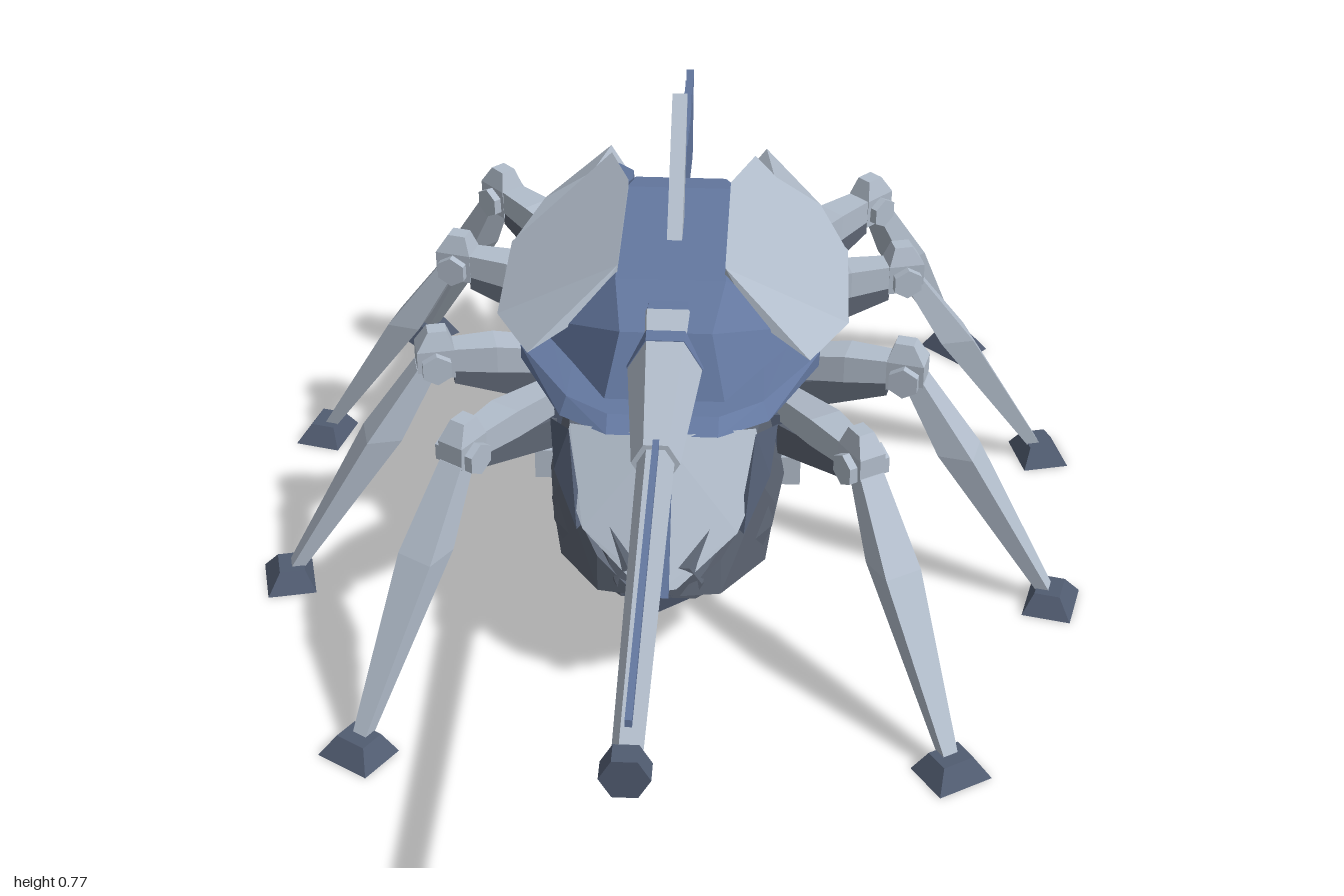
import * as THREE from 'three';
import { ConvexGeometry } from 'three/addons/geometries/ConvexGeometry.js';

const paint = (name, color) => {
  const m = new THREE.MeshStandardMaterial({ color, flatShading: true });
  m.name = name;
  return m;
};

export function createModel() {
  const model = new THREE.Group();
  model.name = 'spiderTank';
  const light = paint('light grey armour', 0xb2bdcb);
  const blue = paint('steel blue', 0x6478a0);
  const dark = paint('dark grey', 0x5d6573);
  const slate = paint('slate', 0x515c71);
  const black = paint('near black', 0x2b303a);

  const add = (name, geo, mat, parent = model) => {
    const mesh = new THREE.Mesh(geo, mat);
    mesh.name = name;
    parent.add(mesh);
    return mesh;
  };
  const convex = pts => new ConvexGeometry(pts.map(p => new THREE.Vector3(...p)));
  const flip = pts => pts.map(([x, y, z]) => [-x, y, z]);
  // solid symmetric about x = 0
  const block = (name, pts, mat) => add(name, convex([...pts, ...flip(pts)]), mat);
  // one solid on each side
  const pair = (name, pts, mat) => {
    add(name + 'Left', convex(pts), mat);
    add(name + 'Right', convex(flip(pts)), mat);
  };
  // rectangle of points in the horizontal plane
  const rect = (x, y, z, hx, hz) =>
    [[x - hx, y, z - hz], [x + hx, y, z - hz], [x + hx, y, z + hz], [x - hx, y, z + hz]];
  // rectangle of points facing along x
  const rectX = (x, y, hy, hz) =>
    [[x, y - hy, -hz], [x, y + hy, -hz], [x, y + hy, hz], [x, y - hy, hz]];

  // Hull: keel below the chine, sloped sides above
  block('belly', [
    [0, 0.19, 0.2], [0, 0.11, 0.08], [0, 0.2, -0.81],
    [0.06, 0.225, 0.2], [0.15, 0.195, 0.08], [0.165, 0.2, -0.1], [0.165, 0.22, -0.62], [0.08, 0.225, -0.81],
  ], slate);
  block('hull', [
    [0.06, 0.22, 0.2], [0.15, 0.195, 0.08], [0.165, 0.2, -0.1], [0.165, 0.215, -0.62], [0.08, 0.22, -0.81],
    [0.07, 0.25, 0.2], [0.18, 0.27, 0.06], [0.2, 0.28, -0.1], [0.2, 0.28, -0.62], [0.11, 0.33, -0.82],
    [0.05, 0.28, 0.2], [0.15, 0.44, 0.07], [0.165, 0.45, -0.1], [0.165, 0.45, -0.6], [0.09, 0.42, -0.82],
  ], dark);
  pair('jaw', [
    [0.165, 0.36, 0.08], [0.185, 0.3, 0.04], [0.17, 0.2, 0.06], [0.1, 0.22, 0.185],
    [0.035, 0.235, 0.215], [0.1, 0.285, 0.18],
  ], dark);

  // Front shield with a raised stripe
  pair('frontShield', [
    [0, 0.465, 0.1], [0, 0.25, 0.225], [0.03, 0.25, 0.217], [0.125, 0.32, 0.155], [0.165, 0.4, 0.09],
    [0.15, 0.46, 0.06], [0, 0.43, 0.06],
  ], light);
  block('shieldStripe', [
    [0.018, 0.47, 0.115], [0.018, 0.245, 0.235], [0.018, 0.465, 0.07], [0.018, 0.25, 0.2],
  ], blue);
  pair('shieldRim', [
    [0.15, 0.465, 0.085], [0.185, 0.45, 0.03], [0.175, 0.39, 0.09], [0.135, 0.315, 0.15],
    [0.125, 0.32, 0.14], [0.165, 0.4, 0.05],
  ], slate);

  // Side strips and hip sockets
  for (const s of [-1, 1]) {
    const strip = add('sideStrip', new THREE.BoxGeometry(0.035, 0.055, 0.57), light);
    strip.position.set(s * 0.207, 0.283, -0.365);
    for (const z of [-0.1, -0.24, -0.45, -0.59]) {
      add('hipSocket', new THREE.BoxGeometry(0.06, 0.07, 0.07), slate).position.set(s * 0.17, 0.37, z);
    }
  }

  // Rear engine block, blue grille frame and dark slots
  block('engineBlock', [
    [0.07, 0.43, -0.81], [0.112, 0.395, -0.825], [0.075, 0.218, -0.8],
    [0.09, 0.45, -0.6], [0.14, 0.4, -0.62], [0.09, 0.22, -0.62],
  ], dark);
  block('grilleFrame', [
    [0.075, 0.435, -0.825], [0.115, 0.4, -0.838], [0.075, 0.215, -0.81],
    [0.075, 0.435, -0.805], [0.115, 0.4, -0.81], [0.075, 0.215, -0.79],
  ], blue);
  for (let i = 0; i < 4; i++) {
    const y = 0.265 + i * 0.036;
    const slot = add('grilleSlot', new THREE.BoxGeometry(0.12 + i * 0.018, 0.018, 0.008), black);
    slot.position.set(0, y, -0.81 - (y - 0.215) * 0.151);
    slot.rotation.x = 0.15;
  }

  // Turret
  block('turretSkirt', [
    [0.09, 0.46, 0.09], [0.17, 0.455, 0.03], [0.25, 0.45, -0.15], [0.26, 0.45, -0.52], [0.16, 0.45, -0.66],
    [0.09, 0.48, 0.06], [0.16, 0.48, 0.01], [0.25, 0.475, -0.15], [0.27, 0.475, -0.5], [0.15, 0.48, -0.66],
  ], blue);
  block('turretBody', [
    [0.1, 0.47, 0.02], [0.15, 0.47, -0.1], [0.25, 0.47, -0.25], [0.25, 0.47, -0.5], [0.12, 0.47, -0.57],
    [0.075, 0.58, -0.03], [0.092, 0.592, -0.18], [0.092, 0.592, -0.5], [0.08, 0.585, -0.55],
  ], blue);
  pair('rearProng', [
    [0.085, 0.59, -0.5], [0.12, 0.56, -0.65], [0.07, 0.46, -0.55], [0.1, 0.47, -0.79],
    [0.14, 0.47, -0.8], [0.22, 0.465, -0.55], [0.2, 0.5, -0.55],
  ], blue);
  pair('roofPlate', [
    [0.09, 0.605, -0.2], [0.09, 0.605, -0.5], [0.13, 0.58, -0.65],
    [0.3, 0.475, -0.5], [0.3, 0.475, -0.25], [0.235, 0.485, -0.11], [0.14, 0.53, -0.16],
    [0.09, 0.585, -0.2], [0.09, 0.585, -0.5], [0.28, 0.465, -0.5], [0.28, 0.465, -0.25],
  ], light);
  pair('rearSpike', [
    [0.148, 0.475, -0.88], [0.1, 0.465, -0.77], [0.165, 0.545, -0.64], [0.25, 0.5, -0.62],
    [0.298, 0.475, -0.5], [0.2, 0.465, -0.55],
  ], light);

  // Serrated tail fin with hooked teeth
  const fin = new THREE.Shape();
  fin.moveTo(0.45, 0.5);
  fin.lineTo(0.88, 0.455);
  const teeth = 9, step = 0.047;
  for (let i = 0; i < teeth; i++) {
    const tip = 0.915 - i * step;
    fin.lineTo(tip, 0.62);
    fin.lineTo(tip - step + 0.008, 0.565 + i * 0.002);
  }
  const finGeo = new THREE.ExtrudeGeometry(fin, { depth: 0.014, bevelEnabled: false });
  finGeo.translate(0, 0, -0.007).rotateY(Math.PI / 2);
  add('tailFin', finGeo, blue);

  // Leaning mast blade
  block('mast', [[0.013, 0.59, -0.31], [0.013, 0.59, -0.395], [0.013, 0.775, -0.5]], light);

  // Gun: six-sided sections along z
  const gunPart = (name, z0, z1, r0, r1, mat) => {
    const g = new THREE.CylinderGeometry(r1, r0, z1 - z0, 6).rotateY(Math.PI / 6).rotateX(Math.PI / 2);
    add(name, g, mat).position.set(0, 0.53, (z0 + z1) / 2);
  };
  gunPart('gunCollar', -0.12, 0.0, 0.066, 0.062, blue);
  gunPart('gunHousing', -0.09, 0.27, 0.068, 0.038, light);
  gunPart('barrel', 0.27, 0.97, 0.029, 0.021, light);
  gunPart('muzzle', 0.965, 1.0, 0.035, 0.035, slate);
  add('barrelRail', new THREE.BoxGeometry(0.01, 0.012, 0.67), blue).position.set(0, 0.558, 0.585);

  // Legs: [hip, knee, foot] as x, z
  const legs = [
    [[0.18, -0.1], [0.32, 0.1], [0.475, 0.345]],
    [[0.18, -0.24], [0.4, -0.175], [0.662, -0.112]],
    [[0.18, -0.45], [0.4, -0.505], [0.67, -0.573]],
    [[0.18, -0.59], [0.345, -0.755], [0.528, -0.946]],
  ];
  for (const side of [1, -1]) {
    for (const [hip, knee, foot] of legs) {
      const leg = new THREE.Group();
      leg.name = side > 0 ? 'legLeft' : 'legRight';
      const dx = (foot[0] - knee[0]) * side, dz = foot[1] - knee[1];
      const d = Math.hypot(dx, dz);
      const h = -Math.hypot(hip[0] - knee[0], hip[1] - knee[1]);
      leg.position.set(knee[0] * side, 0, knee[1]);
      leg.rotation.y = Math.atan2(-dz, dx);

      add('hipStrut', convex([...rectX(h, 0.35, 0.03, 0.028), ...rectX(-0.03, 0.405, 0.018, 0.02)]), dark, leg);
      add('thigh', convex([
        ...rectX(h, 0.41, 0.022, 0.022), ...rectX(h * 0.45, 0.43, 0.025, 0.028), ...rectX(0, 0.435, 0.02, 0.02),
      ]), light, leg);
      const hinge = add('kneeHinge', new THREE.CylinderGeometry(0.028, 0.028, 0.075, 6).rotateX(Math.PI / 2), light, leg);
      hinge.position.set(0, 0.425, 0);
      add('kneeCap', convex([
        ...rect(0, 0.4, 0, 0.032, 0.022), ...rect(0, 0.455, 0, 0.032, 0.024), ...rect(-0.005, 0.488, 0, 0.016, 0.014),
      ]), light, leg);
      add('shin', convex([
        ...rect(0.015, 0.42, 0, 0.018, 0.022), ...rect(d * 0.36, 0.29, 0, 0.03, 0.033), ...rect(d * 0.98, 0.03, 0, 0.012, 0.013),
      ]), light, leg);
      add('foot', convex([
        ...rect(d + 0.008, 0, 0, 0.042, 0.05), ...rect(d + 0.004, 0.035, 0, 0.022, 0.028),
      ]), slate, leg);
      model.add(leg);
    }
  }
  return model;
}
